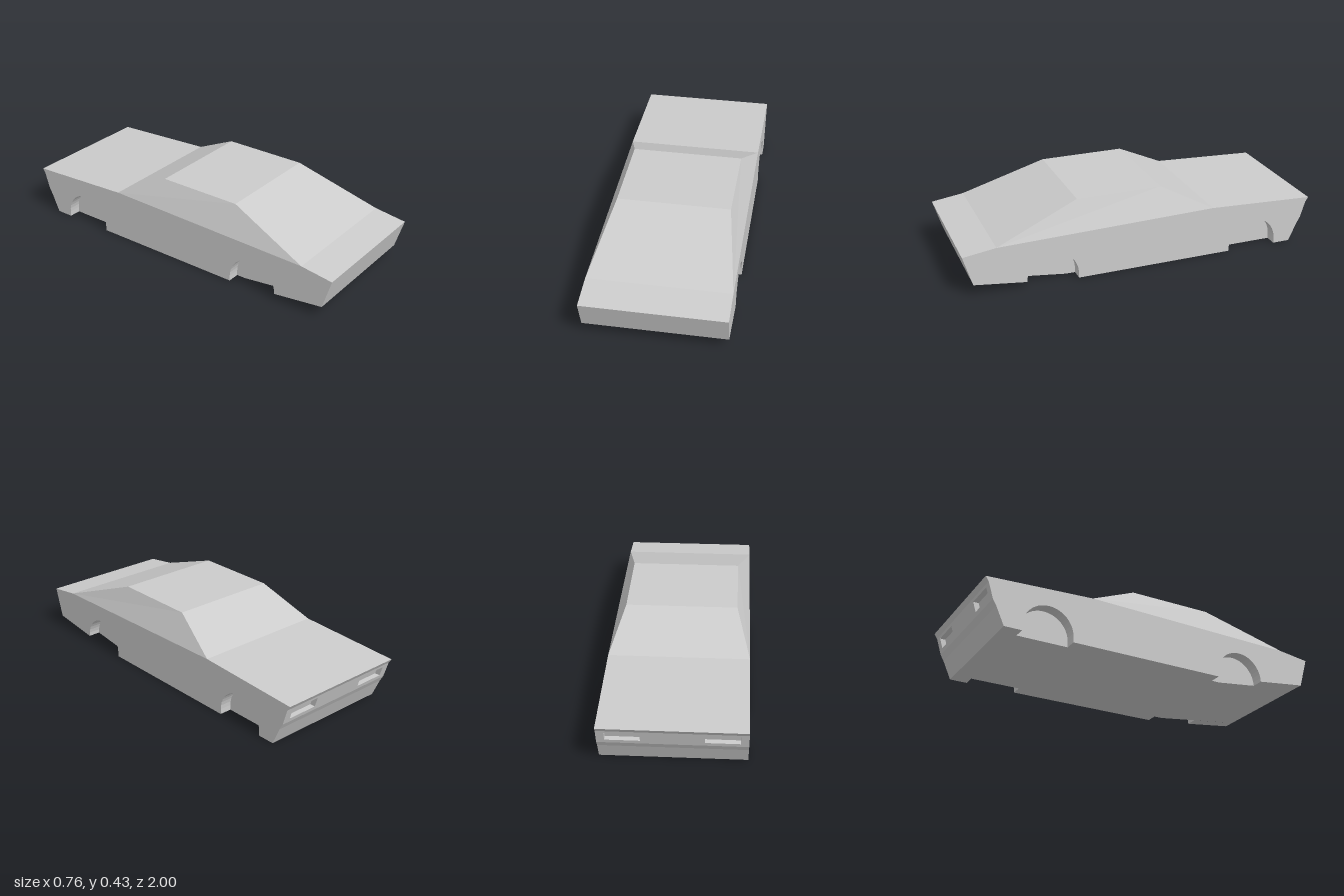
import * as THREE from 'three';
import { mergeGeometries } from 'three/addons/utils/BufferGeometryUtils.js';

const W = 0.378;      // half width of the body
const ROOF = 0.305;   // half width of the roof
const WELL = 0.31;    // inner face of the wheel wells

// Flat four-cornered face, corners counter-clockwise from outside
function quad(a, b, c, d) {
  const g = new THREE.BufferGeometry();
  g.setAttribute('position', new THREE.Float32BufferAttribute([a, b, c, a, c, d].flat(), 3));
  g.computeVertexNormals();
  return g;
}

// Sweep a [z, y] path across x; each point may carry its own half width as third value
function strip(path, x0, x1) {
  const at = ([z, y, w], x) => [w === undefined ? x : Math.sign(x) * w, y, z];
  return path.slice(1).map((q, i) => {
    const p = path[i];
    return quad(at(p, x0), at(p, x1), at(q, x1), at(q, x0));
  });
}

// Flat [z, y] outline at a given x, facing +x or -x
function cap(points, x, sign) {
  const shape = new THREE.Shape(points.map(([z, y]) => new THREE.Vector2(-sign * z, y)));
  const g = new THREE.ShapeGeometry(shape).toNonIndexed();
  g.deleteAttribute('uv');
  return g.rotateY(sign * Math.PI / 2).translate(x, 0, 0);
}

// Semicircular arch points, from back to front
function arch(zc, n = 20) {
  const pts = [];
  for (let i = 0; i <= n; i++) {
    const a = Math.PI * (1 - i / n);
    pts.push([zc + 0.1425 * Math.cos(a), 0.029 + 0.1425 * Math.sin(a)]);
  }
  return pts;
}

export function createModel() {
  const group = new THREE.Group();
  const material = new THREE.MeshStandardMaterial({ color: 0xcccccc, flatShading: true });
  const add = (name, parts) => {
    const mesh = new THREE.Mesh(mergeGeometries(parts), material);
    mesh.name = name;
    group.add(mesh);
  };

  // Side profile, split into its runs
  const nose = [1, 0.23], chin = [0.95, 0.065];
  const cowl = [0.82, 0.255], deckFront = [-0.4, 0.28];
  const tail = [-1, 0.252], panelTop = [-0.983, 0.226], panelBottom = [-0.955, 0.135];
  const bumper = [-0.935, 0.1], tailFoot = [-0.89, 0];
  const rearWell = [[-0.7925, 0], ...arch(-0.65), [-0.5075, 0]];
  const frontWell = [[0.38, 0], ...arch(0.5225)];

  // Body: hood, deck, nose, lower tail, underside and sides
  const sill = [tailFoot, ...rearWell, ...frontWell, chin];
  const body = [
    ...strip([nose, cowl], -W, W),
    ...strip([deckFront, tail, panelTop], -W, W),
    ...strip([panelBottom, bumper, tailFoot], -W, W),
    ...strip([chin, nose], -W, W),
    ...strip([tailFoot, [0.43, 0], chin], -WELL, WELL),
    ...strip(sill, WELL, W),
    ...strip(sill, -W, -WELL),
  ];
  const side = [nose, cowl, deckFront, tail, panelTop, panelBottom, bumper, ...sill];
  for (const s of [1, -1]) body.push(cap(side, s * W, s));
  add('body', body);

  // Inner faces of the wheel wells
  const wells = [];
  for (const s of [1, -1]) {
    wells.push(cap(rearWell, s * WELL, s), cap([...frontWell, [0.43, 0]], s * WELL, s));
  }
  add('wheelWells', wells);

  // Cabin: windscreen, roof, rear window and leaning sides
  const roofFront = [0.36, 0.425], roofBack = [-0.115, 0.425];
  const cabin = strip([[...cowl, W], [...roofFront, ROOF], [...roofBack, ROOF], [...deckFront, W]], -1, 1);
  for (const s of [1, -1]) {
    const corners = [[...cowl, W], [...deckFront, W], [...roofBack, ROOF], [...roofFront, ROOF]]
      .map(([z, y, w]) => [s * w, y, z]);
    cabin.push(quad(...(s > 0 ? corners : corners.reverse())));
  }
  add('cabin', cabin);

  // Tail panel with two recessed light pockets
  const onPanel = (y) => {
    const t = (panelTop[1] - y) / (panelTop[1] - panelBottom[1]);
    return [panelTop[0] + t * (panelBottom[0] - panelTop[0]), y];
  };
  const hi = onPanel(0.212), lo = onPanel(0.157);
  const inner = 0.16, outer = 0.337, depth = 0.03;
  const panel = [...strip([panelTop, hi], -W, W), ...strip([lo, panelBottom], -W, W)];
  for (const [a, b] of [[-W, -outer], [-inner, inner], [outer, W]]) panel.push(...strip([hi, lo], a, b));
  add('tailPanel', panel);

  const pocket = [hi, [hi[0] + depth, hi[1]], [lo[0] + depth, lo[1]], lo];
  const pockets = [];
  for (const [a, b] of [[-outer, -inner], [inner, outer]]) {
    pockets.push(...strip(pocket, a, b), cap(pocket, a, 1), cap(pocket, b, -1));
  }
  add('tailLightPockets', pockets);

  return group;
}
